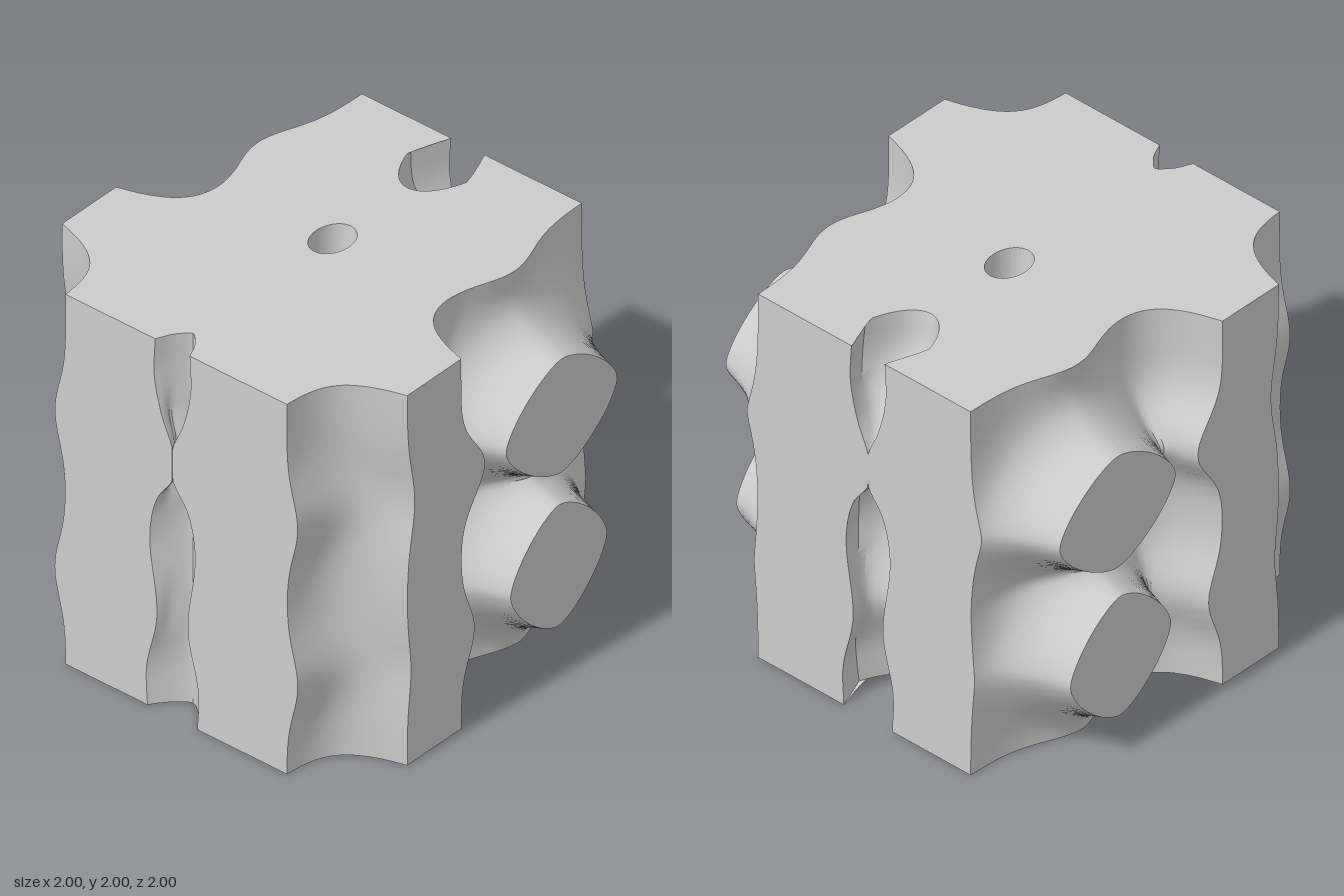
import * as THREE from 'three';
import { toCreasedNormals } from 'three/addons/utils/BufferGeometryUtils.js';

const { smoothstep, lerp } = THREE.MathUtils;
const bell = (d, w) => Math.exp(-((d / w) ** 2));

// side slit by height: depth and half width, pinched shut at the neck
const slit = new THREE.CubicInterpolant(
  [0, 0.2, 0.5, 0.95, 1.15, 1.28, 1.45, 1.6, 1.8, 2],
  [0.4, 0.145, 0.35, 0.15, 0.2, 0.09, 0.36, 0.13, 0.25, 0.085,
    0, 0, 0, 0, 0.2, 0.06, 0.36, 0.105, 0.41, 0.1],
  2,
);

// distance outside a raised rounded diamond
function diamond(x, y, cx, cy, rx, ry) {
  const p = 1.45, soft = 0.005;
  const u = ((x - cx) / rx) ** 2 + soft, v = ((y - cy) / ry) ** 2 + soft;
  return ((u ** (p / 2) + v ** (p / 2)) ** (1 / p) - 1.02) * 0.33;
}

// smooth minimum, rounds the valleys between raised areas
function blend(a, b) {
  const k = 0.07, h = Math.max(k - Math.abs(a - b), 0) / k;
  return Math.min(a, b) - h * h * k / 4;
}

// distance outside the raised strip and diamonds
function outside(x, y) {
  const left = -0.605 + 0.05 * bell(y - 1.4, 0.25) + 0.025 * bell(y - 0.5, 0.2);
  const right = -0.24 + 0.16 * bell(y - 1.35, 0.2) + 0.09 * bell(y - 0.5, 0.2);
  const strip = Math.max(left - x, x - right);
  const upper = diamond(x, y, 0.44, 1.325, 0.375, 0.305);
  const lower = diamond(x, y, 0.42, 0.525, 0.325, 0.325);
  return blend(strip, blend(upper, lower));
}

// half thickness of the block, hollowed between the raised areas
function halfDepth(x, y) {
  const ripple = x < -0.4 ? 0.065 * (bell(y - 1.35, 0.22) + bell(y - 0.5, 0.22)) : 0;
  const swell = 0.06 + 0.06 * bell(y - 2.1, 0.2) + 0.05 * bell(y + 0.1, 0.2);
  const floor = 0.365 - swell * bell(x - 0.42, 0.25) - ripple;
  return 1 - floor * (1 - Math.exp(-Math.max(0, outside(x, y)) / 0.095));
}

// move a grid point onto the rim of a raised area if it is near
function snapToRim(x, y) {
  const d = 1e-4, s = outside(x, y);
  const gx = (outside(x + d, y) - s) / d, gy = (outside(x, y + d) - s) / d;
  const g2 = gx * gx + gy * gy;
  if (Math.abs(s) > 0.016 * Math.sqrt(g2)) return [x, y];
  return [x - s * gx / g2, y - s * gy / g2];
}

const BAND = 0.25; // share of the z grid that follows the slits and the holes
const HOLE_X = 1 / 12, HOLE_R = 0.125, HOLE_DEPTH = 0.4;

function carve(p) {
  let { x, z: t } = p;
  let y = p.y + 1;
  let dip = 0;
  if (Math.abs(t) > 0.999) {
    const [rimX, rimY] = snapToRim(x, y);
    x = rimX;
    if (Math.abs(p.y) < 0.999) y = rimY;
  }

  // round hole in the top and the bottom
  if (Math.abs(p.y) > 0.999) {
    const u = (x - HOLE_X) / HOLE_R, v = t / BAND;
    const q = Math.max(Math.abs(u), Math.abs(v));
    if (q > 1e-6) {
      const k = lerp(q / Math.hypot(u, v), 1, smoothstep(q, 1, 2.5));
      x = HOLE_X + u * k * HOLE_R;
      t = v * k * BAND;
    }
    if (q < 0.999) dip = HOLE_DEPTH * Math.sqrt(1 - q * q);
  }

  // slits sink into both sides: round caves on one, a continuous groove on the other
  const a = Math.abs(t), q = Math.min(1, a / BAND);
  const [slitDepth, slitWidth] = slit.evaluate(y);
  const width = Math.max(0.001, slitWidth);
  const depth = x > 0 ? Math.max(0, slitDepth) * Math.sqrt(1 - q * q) : 0.14 * (1 - q ** 1.5);
  x -= Math.sign(x) * depth * smoothstep(Math.abs(x), 0.3, 1);

  // both widen behind their opening
  const swell = x > 0
    ? 0.1 * smoothstep(x, 0.35, 0.6) * (1 - smoothstep(x, 0.82, 1)) * smoothstep(width, 0, 0.1)
    : 0.07 * bell(x + 0.925, 0.035) * (1 - smoothstep(width, 0.03, 0.12));
  const w = lerp(0.095, width, smoothstep(Math.abs(x), 0.4, 0.95)) + swell;

  // front and back relief
  const out = Math.max(0, (a - BAND) / (1 - BAND));
  const z = a < BAND ? q * w : lerp(w, halfDepth(x, y), out);
  p.set(x, y - Math.sign(p.y) * dip, Math.sign(t) * z - 0.022 * (1 - out));
}

export function createModel() {
  const group = new THREE.Group();
  group.name = 'carvedBlock';

  let geometry = new THREE.BoxGeometry(2, 2, 2, 96, 88, 80);
  const pos = geometry.attributes.position;
  const p = new THREE.Vector3();
  for (let i = 0; i < pos.count; i++) {
    carve(p.fromBufferAttribute(pos, i));
    pos.setXYZ(i, p.x, p.y, p.z);
  }
  geometry = toCreasedNormals(geometry, 0.6);

  const block = new THREE.Mesh(geometry, new THREE.MeshStandardMaterial({ color: 0xcccccc }));
  block.name = 'block';
  group.add(block);
  return group;
}
